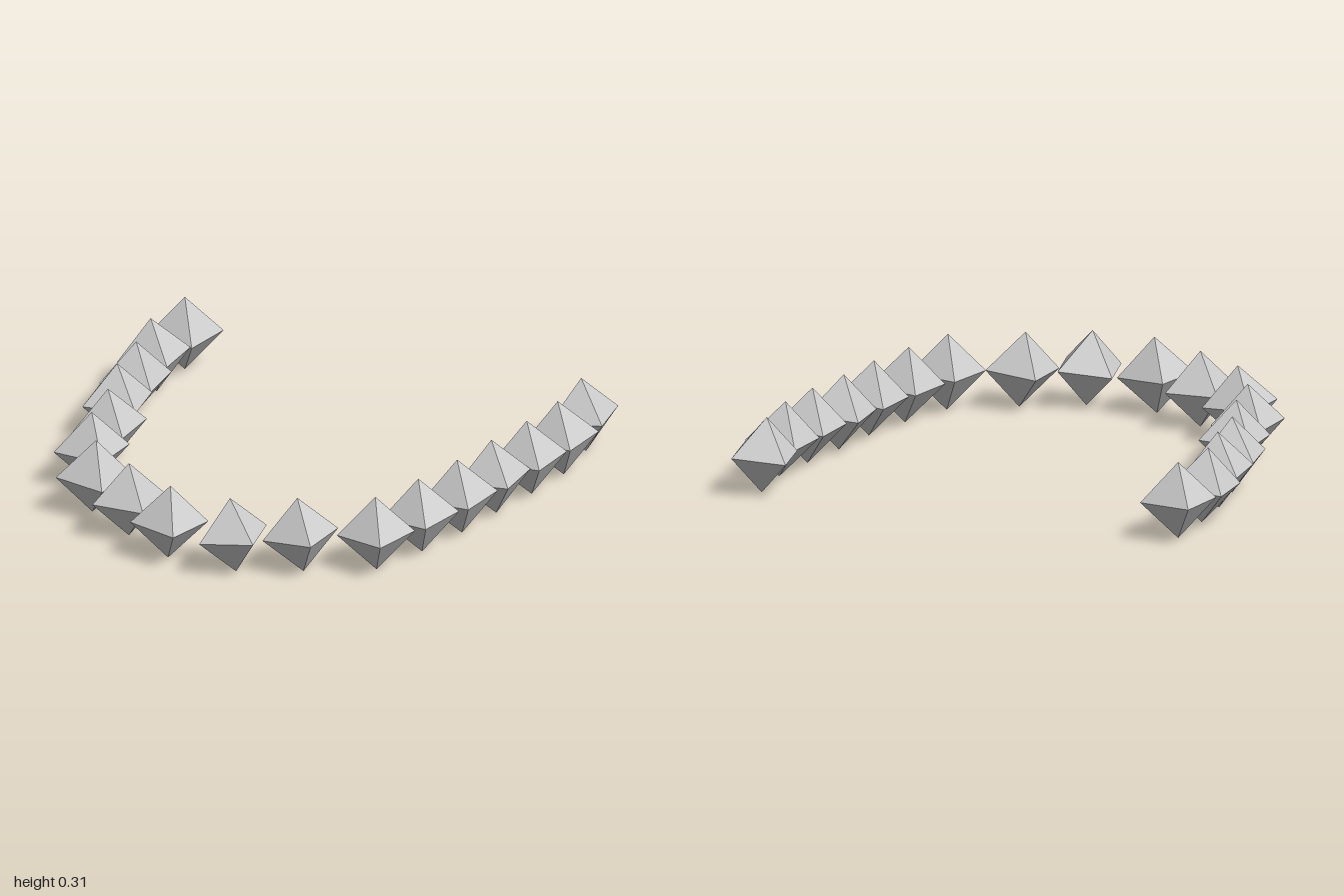
import * as THREE from 'three';

// Each bead: x, z, turn about the vertical (degrees), sideways lean (degrees)
const RIGHT_STRAND = [
  [-0.877, -0.837, -8, 0],
  [-0.89, -0.594, 2, 5],
  [-0.854, -0.367, 5, -1],
  [-0.821, -0.144, 9.5, 0],
  [-0.735, 0.09, 1, 3],
  [-0.697, 0.32, -3, 0],
  [-0.567, 0.555, -7, -3],
  [-0.345, 0.695, 3, 0],
  [-0.107, 0.818, -12.5, -2],
];
const LEFT_STRAND = [
  [0.863, -0.834, 10, 4],
  [0.885, -0.594, -4, 5],
  [0.861, -0.369, -3, 4],
  [0.821, -0.144, 3, 4],
  [0.789, 0.088, -5, 4],
  [0.735, 0.32, -10, 3],
  [0.66, 0.553, -12, 1],
  [0.404, 0.698, -3, 5],
  [0.171, 0.818, 12.5, 5],
];
const RADIUS = 0.153;

export function createModel() {
  const model = new THREE.Group();
  model.name = 'beadString';

  const material = new THREE.MeshStandardMaterial({ color: 0xcccccc, flatShading: true });
  // Eight-sided bead with its square waist aligned to x and z
  const beadGeometry = new THREE.OctahedronGeometry(RADIUS).rotateY(Math.PI / 4);

  function addStrand(name, beads) {
    const strand = new THREE.Group();
    strand.name = name;
    beads.forEach(([x, z, turn, lean], i) => {
      const bead = new THREE.Mesh(beadGeometry, material);
      bead.name = `${name}Bead${i + 1}`;
      bead.position.set(x, RADIUS, z);
      bead.rotation.set(0, THREE.MathUtils.degToRad(turn), THREE.MathUtils.degToRad(lean), 'ZYX');
      strand.add(bead);
    });
    model.add(strand);
  }

  // Two strands that meet at the front and open to the back
  addStrand('rightStrand', RIGHT_STRAND);
  addStrand('leftStrand', LEFT_STRAND);
  return model;
}
